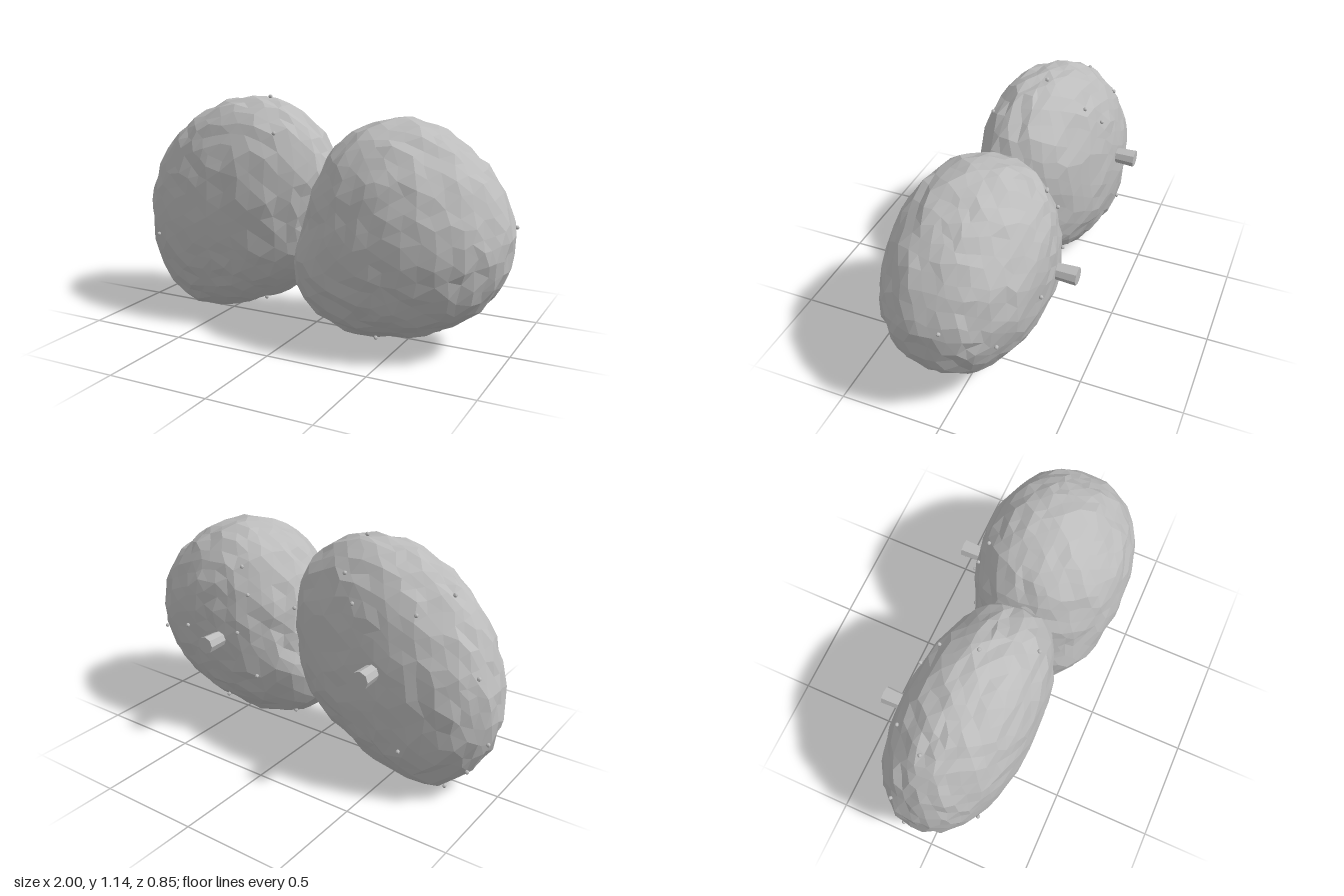
import * as THREE from 'three';
import { mergeVertices } from 'three/addons/utils/BufferGeometryUtils.js';

// Two lumpy flattened boulders: centre, half depth, lean (z by x, z by y)
// and the outline radius every 30 degrees, counter-clockwise from +x
const BOULDERS = [
  {
    name: 'rightBoulder', c: [-0.45, 0.57, -0.015], depth: 0.318, lean: [0.08, 0.01], seed: 7,
    outline: [0.56, 0.62, 0.605, 0.55, 0.505, 0.5, 0.535, 0.595, 0.625, 0.535, 0.5, 0.545],
  },
  {
    name: 'leftBoulder', c: [0.475, 0.565, 0.045], depth: 0.375, lean: [0.01, -0.06], seed: 23,
    outline: [0.522, 0.495, 0.485, 0.51, 0.505, 0.475, 0.475, 0.6, 0.575, 0.51, 0.505, 0.525],
  },
];
const POWER = 2.2;

function seeded(seed) {
  let s = seed;
  return () => (s = (s * 16807) % 2147483647) / 2147483647;
}

// Smooth outline radius at an angle, through the listed values
function outlineRadius(b, angle) {
  const n = b.outline.length;
  const t = ((angle / (2 * Math.PI) + 1) % 1) * n;
  const i = Math.floor(t), f = t - i;
  const [p0, p1, p2, p3] = [-1, 0, 1, 2].map((k) => b.outline[(i + k + n) % n]);
  return p1 + 0.5 * f * (p2 - p0 + f * (2 * p0 - 5 * p1 + 4 * p2 - p3 + f * (3 * (p1 - p2) + p3 - p0)));
}

// Point on a boulder's surface in the direction d (unit-space)
function surfacePoint(b, d, bump) {
  const k = bump / (Math.hypot(d.x, d.y) ** POWER + Math.abs(d.z) ** POWER) ** (1 / POWER);
  const r = outlineRadius(b, Math.atan2(d.y, d.x));
  const x = d.x * k * r, y = d.y * k * r;
  const z = d.z * k * b.depth + b.lean[0] * x + b.lean[1] * y;
  return new THREE.Vector3(b.c[0] + x, b.c[1] + y, b.c[2] + z);
}

// Moves a nearby point onto the boulder's surface
function snap(b, [px, py, pz]) {
  const x = px - b.c[0], y = py - b.c[1], z = pz - b.c[2];
  const r = outlineRadius(b, Math.atan2(y, x));
  const d = new THREE.Vector3(x / r, y / r, (z - b.lean[0] * x - b.lean[1] * y) / b.depth);
  return surfacePoint(b, d, 1.015);
}

function boulderGeometry(b) {
  let geo = new THREE.IcosahedronGeometry(1, 7);
  geo.deleteAttribute('normal');
  geo.deleteAttribute('uv');
  geo = mergeVertices(geo, 1e-3);
  const rand = seeded(b.seed * 7919);
  for (let i = 0; i < 20; i++) rand();
  const pos = geo.attributes.position, d = new THREE.Vector3();
  for (let i = 0; i < pos.count; i++) {
    d.fromBufferAttribute(pos, i);
    d.x += (rand() - 0.5) * 0.06;
    d.y += (rand() - 0.5) * 0.06;
    d.z += (rand() - 0.5) * 0.06;
    const p = surfacePoint(b, d, 0.998 + (rand() - 0.5) * 0.038);
    pos.setXYZ(i, p.x, p.y, p.z);
  }
  geo = geo.toNonIndexed();
  geo.computeVertexNormals();
  return geo;
}

// Rough bead places for each boulder
const BEADS = [
  [
    [-0.27, 1.135, -0.02], [-0.135, 0.975, 0.195], [-0.75, 0.96, -0.08], [-0.955, 0.665, -0.18],
    [-0.82, 0.415, 0.2], [-0.96, 0.345, -0.12], [-0.9, 0.185, -0.15], [-0.765, 0.085, -0.12],
    [-0.23, 0.11, 0.1], [-0.66, 0.9, -0.24], [-0.36, 0.91, -0.285], [-0.275, 1.02, -0.22],
    [0.06, 0.74, -0.15], [-0.62, 0.3, -0.28],
  ],
  [
    [0.99, 0.61, -0.03], [0.425, 0.11, 0.2], [0.055, 0.085, -0.1], [0.27, 0.61, -0.33],
    [0.24, 0.8, -0.27], [0.31, 0.9, -0.22], [0.59, 0.575, -0.315], [0.85, 0.475, -0.225],
    [0.45, 0.165, -0.21], [0.2, 0.39, -0.27],
  ],
];

export function createModel() {
  const model = new THREE.Group();
  model.name = 'twinBoulders';
  const stone = new THREE.MeshStandardMaterial({ color: 0xbcbcbc });
  stone.name = 'stone grey';
  stone.flatShading = true;

  const add = (name, geo, position) => {
    const mesh = new THREE.Mesh(geo, stone);
    mesh.name = name;
    if (position) mesh.position.copy(position);
    model.add(mesh);
  };

  // Boulders with tiny beads scattered over them
  const beadGeo = new THREE.SphereGeometry(0.01, 8, 6);
  BOULDERS.forEach((b, i) => {
    add(b.name, boulderGeometry(b));
    BEADS[i].forEach((p) => add('bead', beadGeo, snap(b, p)));
  });

  // Short pegs sticking out of the back
  const pegGeo = new THREE.CylinderGeometry(0.043, 0.036, 0.16, 8);
  pegGeo.rotateX(-Math.PI / 2);
  add('rightPeg', pegGeo, new THREE.Vector3(-0.505, 0.63, -0.347));
  add('leftPeg', pegGeo, new THREE.Vector3(0.387, 0.555, -0.347));
  return model;
}
